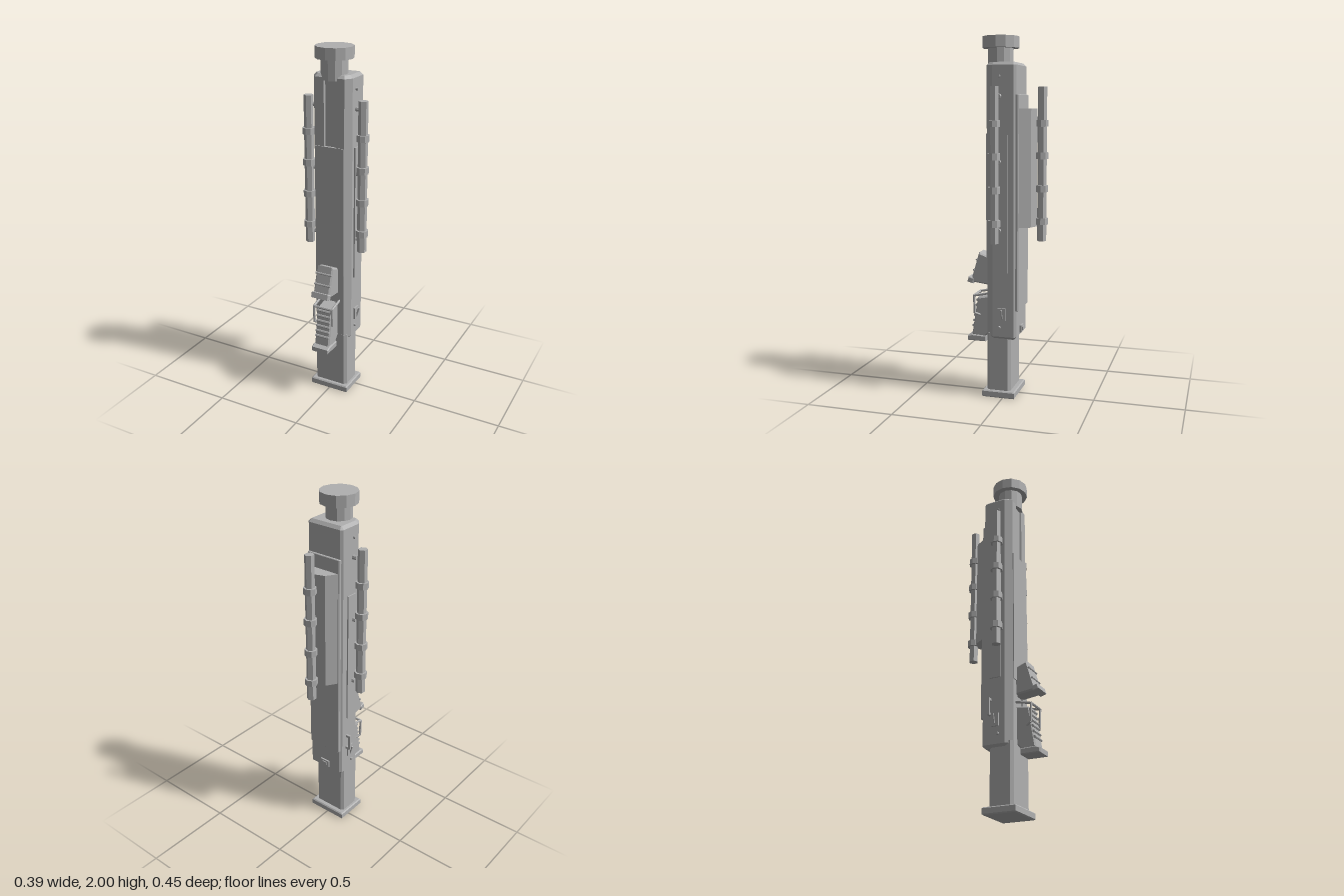
import * as THREE from 'three';

export function createModel() {
  const root = new THREE.Group();
  const grey = new THREE.MeshStandardMaterial({ color: 0xb0b0b0, flatShading: true });
  grey.name = 'plain grey';

  const add = (name, geo, x = 0, y = 0, z = 0, parent = root) => {
    const m = new THREE.Mesh(geo, grey);
    m.name = name;
    m.position.set(x, y, z);
    parent.add(m);
    return m;
  };
  const box = (name, x0, x1, y0, y1, z0, z1) =>
    add(name, new THREE.BoxGeometry(x1 - x0, y1 - y0, z1 - z0), (x0 + x1) / 2, (y0 + y1) / 2, (z0 + z1) / 2);
  const extrude = (pts, depth, bevel) => new THREE.ExtrudeGeometry(
    new THREE.Shape(pts.map(p => new THREE.Vector2(...p))), {
      depth: depth - 2 * bevel, bevelEnabled: bevel > 0, bevelThickness: bevel,
      bevelSize: bevel, bevelOffset: -bevel, bevelSegments: 1,
    }).translate(0, 0, bevel);
  // upright prism from the +x half of a plan outline given as [x, z], front to back
  const prism = (name, half, y0, y1, bevel = 0) => {
    const pts = half.map(([x, z]) => [x, -z]);
    const mirror = half.filter(p => p[0] > 0).reverse().map(([x, z]) => [-x, -z]);
    return add(name, extrude([...pts, ...mirror], y1 - y0, bevel).rotateX(-Math.PI / 2), 0, y0);
  };
  // side outline given as [z, y], extruded across x
  const slab = (name, pts, halfWidth, bevel = 0) =>
    add(name, extrude(pts, 2 * halfWidth, bevel).rotateY(-Math.PI / 2), halfWidth);
  const bar = (name, a, b, r, sides = 6) => {
    const A = new THREE.Vector3(...a), B = new THREE.Vector3(...b);
    const m = add(name, new THREE.CylinderGeometry(r, r, A.distanceTo(B), sides));
    m.position.copy(A).lerp(B, 0.5);
    m.quaternion.setFromUnitVectors(new THREE.Vector3(0, 1, 0), B.sub(A).normalize());
    return m;
  };

  // foot and lower post
  prism('baseFlange', [[0.117, 0.117], [0.117, -0.07]], 0, 0.04, 0.006);
  prism('lowerPost', [[0.085, 0.095], [0.1, 0.08], [0.1, -0.028], [0.085, -0.042]], 0.03, 0.37);

  // main housing with a shallow channel down the front
  prism('housing', [[0.03, 0.084], [0.034, 0.094], [0.085, 0.094], [0.113, 0.055],
    [0.113, -0.065], [0.1, -0.078]], 0.34, 1.86, 0.016);
  box('frontPanel', -0.085, 0.085, 0.71, 1.48, 0.08, 0.099);
  prism('backPlate', [[0.105, -0.07], [0.105, -0.084], [0.1, -0.09]], 0.505, 1.69, 0.003);
  prism('backFairing', [[0.1, -0.085], [0.06, -0.148], [0, -0.167]], 0.97, 1.615);
  box('backLatch', -0.03, 0.03, 0.365, 0.405, -0.088, -0.07);
  box('backLatchTab', -0.015, 0.015, 0.375, 0.395, -0.093, -0.08);

  // neck and cap
  add('neck', new THREE.CylinderGeometry(0.071, 0.071, 0.12, 12), 0, 1.89, 0.04);
  add('cap', new THREE.CylinderGeometry(0.102, 0.102, 0.062, 12), 0, 1.969, 0.038);

  // hexagonal rods with octagonal collars
  const rod = (name, x, z) => {
    const g = new THREE.Group();
    g.name = name;
    g.position.set(x, 0, z);
    root.add(g);
    add('rodShaft', new THREE.CylinderGeometry(0.026, 0.026, 0.84, 6), 0, 1.31, 0, g);
    for (const y of [1.0, 1.18, 1.36, 1.535])
      add('rodCollar', new THREE.CylinderGeometry(0.035, 0.035, 0.036, 8), 0, y, 0, g);
  };
  rod('leftRod', 0.162, 0.03);
  rod('rightRod', -0.162, 0.03);
  rod('backRod', 0, -0.195);

  // side panels, pegs, screws and small boxes
  for (const s of [1, -1]) {
    const sx = (a, b) => [Math.min(s * a, s * b), Math.max(s * a, s * b)];
    box('sidePanel', ...sx(0.1, 0.121), 0.72, 1.475, -0.03, 0.033);
    box('sideBox', ...sx(0.1, 0.122), 0.45, 0.52, -0.02, 0.024);
    bar('sideBoxTab', [s * 0.119, 0.46, 0], [s * 0.135, 0.515, 0], 0.005);
    for (const y of [0.955, 1.33, 1.68])
      bar('rodPeg', [s * 0.1, y, 0.015], [s * 0.138, y, 0.015], 0.013, 8);
    for (const y of [0.41, 1.785])
      bar('screw', [s * 0.1, y, 0.016], [s * 0.126, y, 0.016], 0.008, 8);
  }
  // pull handle on the right side
  box('pullHandle', -0.143, -0.131, 0.51, 0.605, -0.033, -0.02);
  for (const y of [0.517, 0.598])
    box('pullHandleStem', -0.14, -0.1, y - 0.007, y + 0.007, -0.033, -0.02);

  // upper tilted block with raised bands
  slab('upperBlock', [[0.085, 0.63], [0.205, 0.645], [0.155, 0.815], [0.08, 0.785]], 0.05, 0.008);
  slab('upperBlockLip', [[0.19, 0.635], [0.225, 0.645], [0.215, 0.675], [0.185, 0.665]], 0.053, 0.004);
  for (const t of [0.4, 0.75])
    bar('upperBlockBand', [-0.05, 0.645 + 0.17 * t, 0.205 - 0.05 * t], [0.05, 0.645 + 0.17 * t, 0.205 - 0.05 * t], 0.006);

  // lower grip, its foot, ribs and wire guard
  slab('lowerGrip', [[0.09, 0.36], [0.125, 0.325], [0.2, 0.335], [0.165, 0.555], [0.085, 0.57]], 0.046, 0.008);
  slab('gripFoot', [[0.115, 0.302], [0.225, 0.302], [0.225, 0.328], [0.2, 0.338], [0.115, 0.335]], 0.053, 0.005);
  for (let i = 0; i < 6; i++) {
    const y = 0.39 + i * 0.03, z = 0.2 - (y - 0.335) * 0.16;
    bar('gripRib', [-0.043, y, z], [0.043, y, z], 0.008);
  }
  for (const x of [-0.057, 0.057]) {
    bar('guardArm', [x, 0.59, 0.08], [x, 0.568, 0.182], 0.007);
    bar('guardPost', [x, 0.57, 0.182], [x, 0.465, 0.178], 0.007);
    bar('guardFoot', [x, 0.468, 0.178], [x * 0.75, 0.455, 0.15], 0.007);
  }
  bar('guardTop', [-0.057, 0.568, 0.182], [0.057, 0.568, 0.182], 0.007);

  return root;
}
